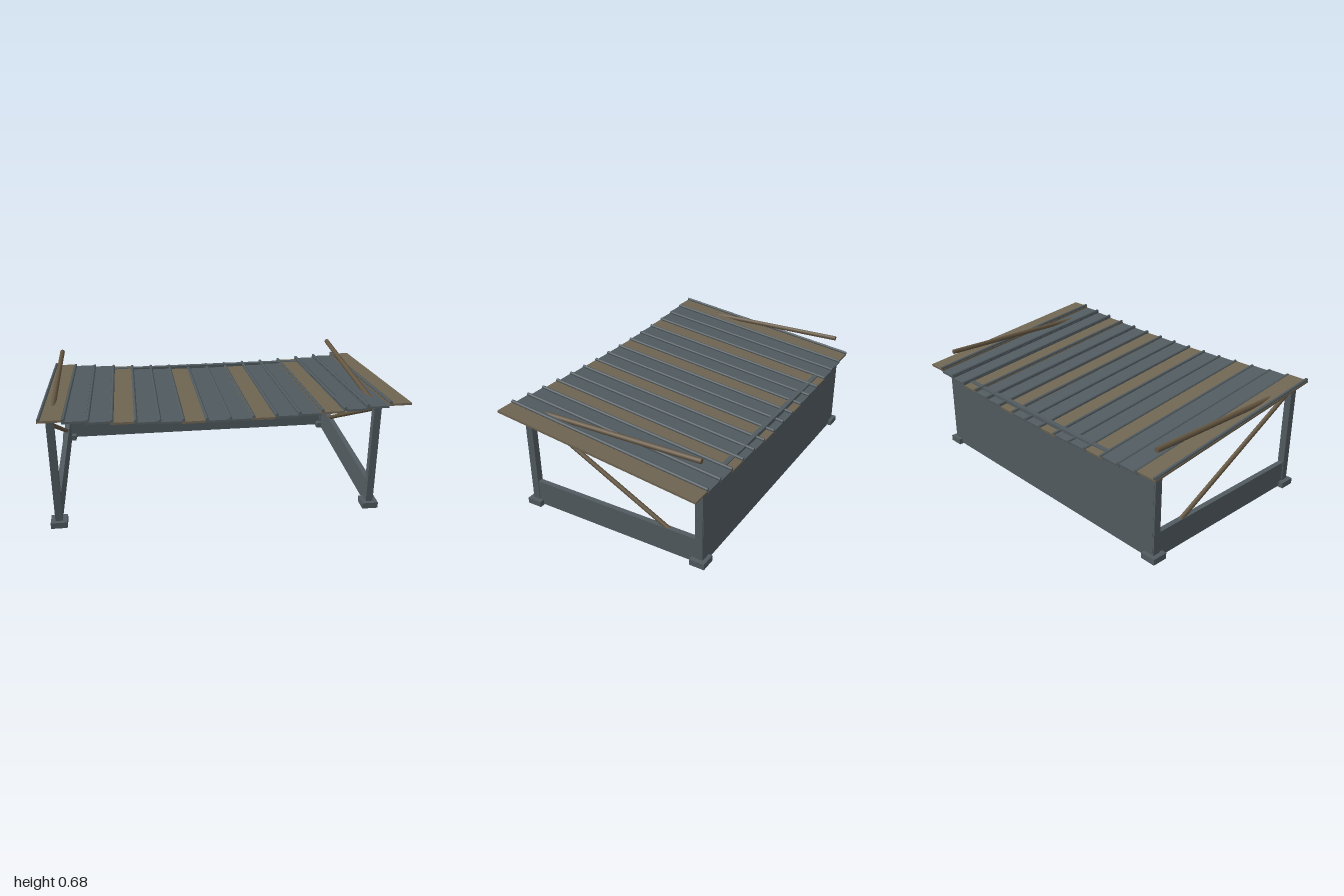
import * as THREE from 'three';

export function createModel() {
  const model = new THREE.Group();
  model.name = 'leanToShelter';

  const mat = (name, color) => {
    const m = new THREE.MeshStandardMaterial({ color });
    m.name = name;
    return m;
  };
  const slate = mat('slate', 0x515b60);
  const tan = mat('weatheredTan', 0x6f6552);
  const timber = mat('timber', 0x645641);

  const add = (name, geometry, material, parent = model) => {
    const mesh = new THREE.Mesh(geometry, material);
    mesh.name = name;
    parent.add(mesh);
    return mesh;
  };

  // Box given by its lower and upper bounds on each axis
  const box = (name, material, [x0, x1], [y0, y1], [z0, z1]) => {
    const mesh = add(name, new THREE.BoxGeometry(x1 - x0, y1 - y0, z1 - z0), material);
    mesh.position.set((x0 + x1) / 2, (y0 + y1) / 2, (z0 + z1) / 2);
    return mesh;
  };

  // Round pole between two points
  const pole = (name, a, b, radius) => {
    const dir = b.clone().sub(a);
    const mesh = add(name, new THREE.CylinderGeometry(radius, radius, dir.length(), 8), timber);
    mesh.position.copy(a).add(b).multiplyScalar(0.5);
    mesh.quaternion.setFromUnitVectors(new THREE.Vector3(0, 1, 0), dir.normalize());
  };

  // Side frames: feet, posts, low wall, brace and loose pole
  for (const [side, x] of [['right', -0.94], ['left', 0.83]]) {
    for (const [end, z, top] of [['Front', 0.547, 0.635], ['Back', -0.547, 0.495]]) {
      box(side + end + 'Foot', slate, [x - 0.045, x + 0.045], [0, 0.035], [z - 0.045, z + 0.045]);
      box(side + end + 'Post', slate, [x - 0.02, x + 0.02], [0.005, top], [z - 0.022, z + 0.022]);
    }
    box(side + 'LowWall', slate, [x - 0.015, x + 0.015], [0.005, 0.155], [-0.568, 0.568]);
    pole(side + 'Brace', new THREE.Vector3(x, 0.617, 0.547), new THREE.Vector3(x, 0.06, -0.52), 0.013);
    pole(side + 'TopPole', new THREE.Vector3(x, 0.617, 0.54), new THREE.Vector3(x, 0.628, -0.55), 0.015);
  }

  // Back wall, whose top edge breaks through the sagging roof
  box('backWall', slate, [-0.95, 0.84], [0.008, 0.495], [-0.57, -0.543]);

  // Sloping roof of 16 panels that sag toward the middle, each with a seam rib
  const roof = new THREE.Group();
  roof.name = 'roof';
  model.add(roof);
  const count = 16, width = 2 / count, length = 1.24;
  const panelGeometry = new THREE.BoxGeometry(width, 0.012, length);
  const ribGeometry = new THREE.CylinderGeometry(0.009, 0.009, length, 8).rotateX(Math.PI / 2);
  for (let i = 0; i < count; i++) {
    const t = (i - 7.5) / 7.5;
    const strip = new THREE.Group();
    strip.name = 'roofStrip' + (i + 1);
    strip.position.set(-1 + (i + 0.5) * width, 0.538 + 0.045 * t * t, 0);
    strip.rotation.x = -0.1254;
    add('roofPanel', panelGeometry, i % 3 === 0 ? tan : slate, strip);
    add('seamRib', ribGeometry, slate, strip).position.set(-width / 2 + 0.009, 0.012, 0);
    roof.add(strip);
  }

  return model;
}
